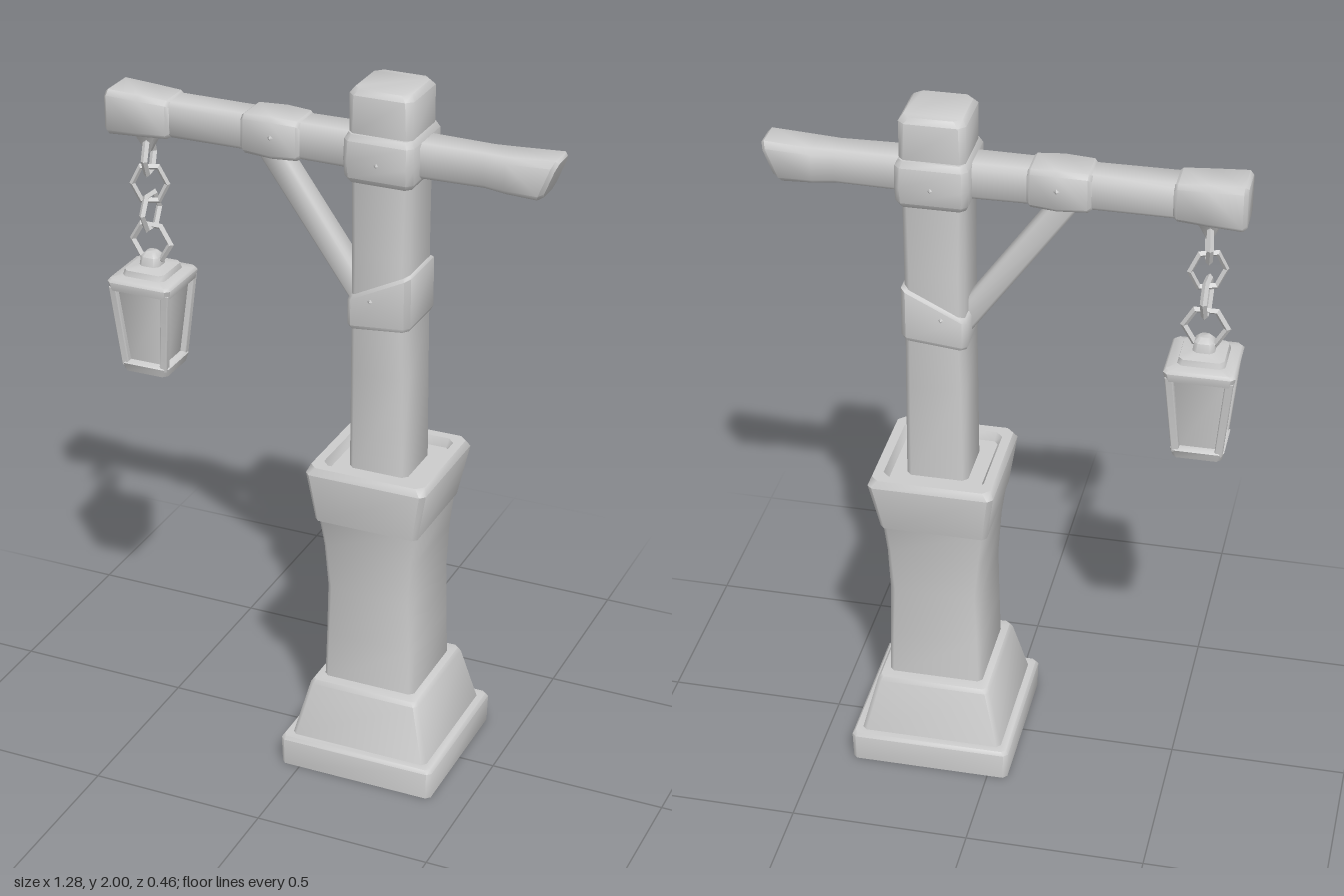
import * as THREE from 'three';
import { toCreasedNormals } from 'three/addons/utils/BufferGeometryUtils.js';

const material = new THREE.MeshStandardMaterial({ color: 0xcccccc, side: THREE.DoubleSide });
const POST_X = 0.17, LAMP_X = -0.54;

// Skin over bevelled rectangles stacked along y.
// ring: [y, halfX, halfZ, bevel, offsetX, offsetZ, tilt (rise of y per unit x)]
function loft(rings) {
  const pos = [], index = [];
  for (const [y, hx, hz, b = 0.012, ox = 0, oz = 0, tilt = 0] of rings) {
    const corners = [[hx, -hz + b], [hx, hz - b], [hx - b, hz], [-hx + b, hz],
      [-hx, hz - b], [-hx, -hz + b], [-hx + b, -hz], [hx - b, -hz]];
    for (const [x, z] of corners) pos.push(x + ox, y + tilt * x, z + oz);
  }
  const last = (rings.length - 1) * 8;
  for (let r = 0; r < last; r += 8) {
    for (let j = 0; j < 8; j++) {
      const k = (j + 1) % 8, a = r + j, b = r + k;
      index.push(a, a + 8, b, b, a + 8, b + 8);
    }
  }
  for (let j = 1; j < 7; j++) {
    index.push(0, j, j + 1, last, last + j + 1, last + j);
  }
  const g = new THREE.BufferGeometry();
  g.setAttribute('position', new THREE.Float32BufferAttribute(pos, 3));
  g.setIndex(index);
  return toCreasedNormals(g, 0.85);
}

function add(parent, name, geometry, x = 0, y = 0, z = 0) {
  const mesh = new THREE.Mesh(geometry, material);
  mesh.name = name;
  mesh.position.set(x, y, z);
  parent.add(mesh);
  return mesh;
}

// Straight bar with a square section between two points
function bar(parent, name, from, to, hx, hz, bevel) {
  const a = new THREE.Vector3(...from), d = new THREE.Vector3(...to).sub(a), n = d.length();
  const mesh = add(parent, name, loft([[0, hx, hz, bevel], [n, hx, hz, bevel]]), ...from);
  mesh.quaternion.setFromUnitVectors(new THREE.Vector3(0, 1, 0), d.normalize());
  return mesh;
}

// Loft laid along +x, where halfX becomes half height
function beamPart(parent, name, rings, y = 1.816) {
  add(parent, name, loft(rings), 0, y, 0).rotation.z = -Math.PI / 2;
}

function createPedestal(root) {
  const g = new THREE.Group();
  g.name = 'pedestal';
  g.position.x = POST_X;
  root.add(g);
  // Foot, hollow from below
  add(g, 'foot', loft([
    [0.24, 0.13, 0.13], [0.06, 0.18, 0.18], [0, 0.185, 0.185], [0, 0.227, 0.227],
    [0.08, 0.229, 0.229], [0.09, 0.222, 0.222], [0.09, 0.203, 0.203],
    [0.25, 0.163, 0.172], [0.262, 0.155, 0.165], [0.265, 0.12, 0.12],
  ]));
  add(g, 'shaft', loft([
    [0.255, 0.135, 0.135], [0.4, 0.132, 0.13], [0.55, 0.13, 0.13, 0.016],
    [0.68, 0.136, 0.134, 0.012, -0.002], [0.78, 0.147, 0.145, 0.012, -0.004],
  ]));
  // Flared cap with a shallow dish around the post
  add(g, 'cap', loft([
    [0.77, 0.14, 0.14], [0.77, 0.15, 0.155, 0.012, -0.003, 0.004],
    [0.915, 0.175, 0.176, 0.014], [0.936, 0.166, 0.167, 0.02],
    [0.936, 0.14, 0.14, 0.02], [0.912, 0.128, 0.128], [0.912, 0.08, 0.08],
  ]));
}

function createPost(root) {
  const g = new THREE.Group();
  g.name = 'postAssembly';
  g.position.x = POST_X;
  root.add(g);
  add(g, 'post', loft([
    [0.9, 0.086, 0.083, 0.014], [1.2, 0.084, 0.082, 0.014], [1.33, 0.081, 0.088, 0.014],
    [1.55, 0.082, 0.084, 0.016], [1.76, 0.083, 0.082, 0.014], [1.88, 0.088, 0.088, 0.014],
    [1.985, 0.089, 0.09, 0.018], [2, 0.078, 0.08, 0.02],
  ]));
  add(g, 'beamCollar', loft([
    [1.75, 0.088, 0.094, 0.014], [1.765, 0.096, 0.104, 0.016], [1.81, 0.098, 0.108, 0.016],
    [1.865, 0.097, 0.104, 0.016], [1.882, 0.088, 0.095, 0.014],
  ]));
  // Slanted band holding the brace
  add(g, 'braceBand', loft([
    [1.34, 0.085, 0.09, 0.014, 0, 0, 0.1], [1.35, 0.09, 0.094, 0.014, 0, 0, 0.1],
    [1.455, 0.09, 0.093, 0.014, 0, 0, 0.5], [1.465, 0.084, 0.086, 0.014, 0, 0, 0.5],
  ]));
}

function createBeam(root) {
  const g = new THREE.Group();
  g.name = 'crossBeam';
  root.add(g);
  beamPart(g, 'beam', [
    [-0.5, 0.05, 0.05], [-0.25, 0.05, 0.048], [0.1, 0.051, 0.052],
    [0.3, 0.048, 0.05], [0.44, 0.047, 0.047], [0.5, 0.05, 0.054, 0.014, 0.002],
    [0.605, 0.056, 0.055, 0.016, 0, 0, -0.4], [0.617, 0.048, 0.047, 0.016, 0, 0, -0.4],
  ]);
  beamPart(g, 'endBlock', [
    [-0.64, 0.055, 0.055], [-0.63, 0.063, 0.064, 0.014], [-0.54, 0.059, 0.061, 0.014],
    [-0.46, 0.054, 0.057], [-0.45, 0.048, 0.05],
  ]);
  beamPart(g, 'braceCollar', [
    [-0.24, 0.048, 0.05], [-0.23, 0.055, 0.058], [-0.15, 0.058, 0.062],
    [-0.08, 0.055, 0.057], [-0.07, 0.048, 0.05],
  ]);
  bar(g, 'brace', [-0.185, 1.79, 0], [0.115, 1.37, 0], 0.032, 0.033, 0.008);
  // Nails on both faces of the collars
  for (const side of [1, -1]) {
    for (const [x, y, z] of [[-0.15, 1.82, 0.062], [POST_X, 1.81, 0.107], [POST_X - 0.02, 1.42, 0.093]]) {
      add(g, 'nail', new THREE.ConeGeometry(0.016, 0.012, 4), x, y, side * z).rotation.x = side * Math.PI / 2;
    }
  }
}

function createChain(root) {
  const g = new THREE.Group();
  g.name = 'chain';
  g.position.x = LAMP_X;
  root.add(g);
  // Tapered hook plate below the beam
  add(g, 'hook', loft([[1.7, 0.008, 0.008, 0.002], [1.735, 0.025, 0.018, 0.004], [1.765, 0.045, 0.03, 0.006]]));
  // Six-sided links: [height, half width, half height, turn]
  const links = [[1.435, 0.058, 0.056, 0], [1.525, 0.045, 0.055, 1.5],
    [1.605, 0.048, 0.056, 0.35], [1.685, 0.045, 0.052, 1.75]];
  for (const [y, w, h, turn] of links) {
    const link = add(g, 'chainLink', toCreasedNormals(new THREE.TorusGeometry(1, 0.17, 4, 6), 0.6), 0, y, 0);
    link.scale.set(w, h, 0.055);
    link.rotation.y = turn;
  }
}

function createLantern(root) {
  const g = new THREE.Group();
  g.name = 'lantern';
  g.position.x = LAMP_X;
  root.add(g);
  add(g, 'lanternRoof', loft([
    [1.305, 0.075, 0.075], [1.31, 0.091, 0.091], [1.335, 0.096, 0.096],
    [1.343, 0.09, 0.09], [1.347, 0.064, 0.064], [1.363, 0.06, 0.06], [1.37, 0.03, 0.03],
    [1.395, 0.026, 0.026, 0.01], [1.408, 0.014, 0.014, 0.006],
  ]));
  add(g, 'glass', loft([[1.085, 0.053, 0.053, 0.004], [1.315, 0.076, 0.076, 0.004]]));
  for (const sx of [1, -1]) {
    for (const sz of [1, -1]) {
      bar(g, 'cornerBar', [sx * 0.058, 1.08, sz * 0.058], [sx * 0.08, 1.32, sz * 0.08], 0.011, 0.011, 0.003);
    }
  }
  add(g, 'lanternBase', loft([
    [1.055, 0.05, 0.05], [1.06, 0.066, 0.066], [1.085, 0.073, 0.073], [1.092, 0.066, 0.066],
  ]));
}

export function createModel() {
  const root = new THREE.Group();
  root.name = 'lanternPost';
  createPedestal(root);
  createPost(root);
  createBeam(root);
  createChain(root);
  createLantern(root);
  return root;
}
